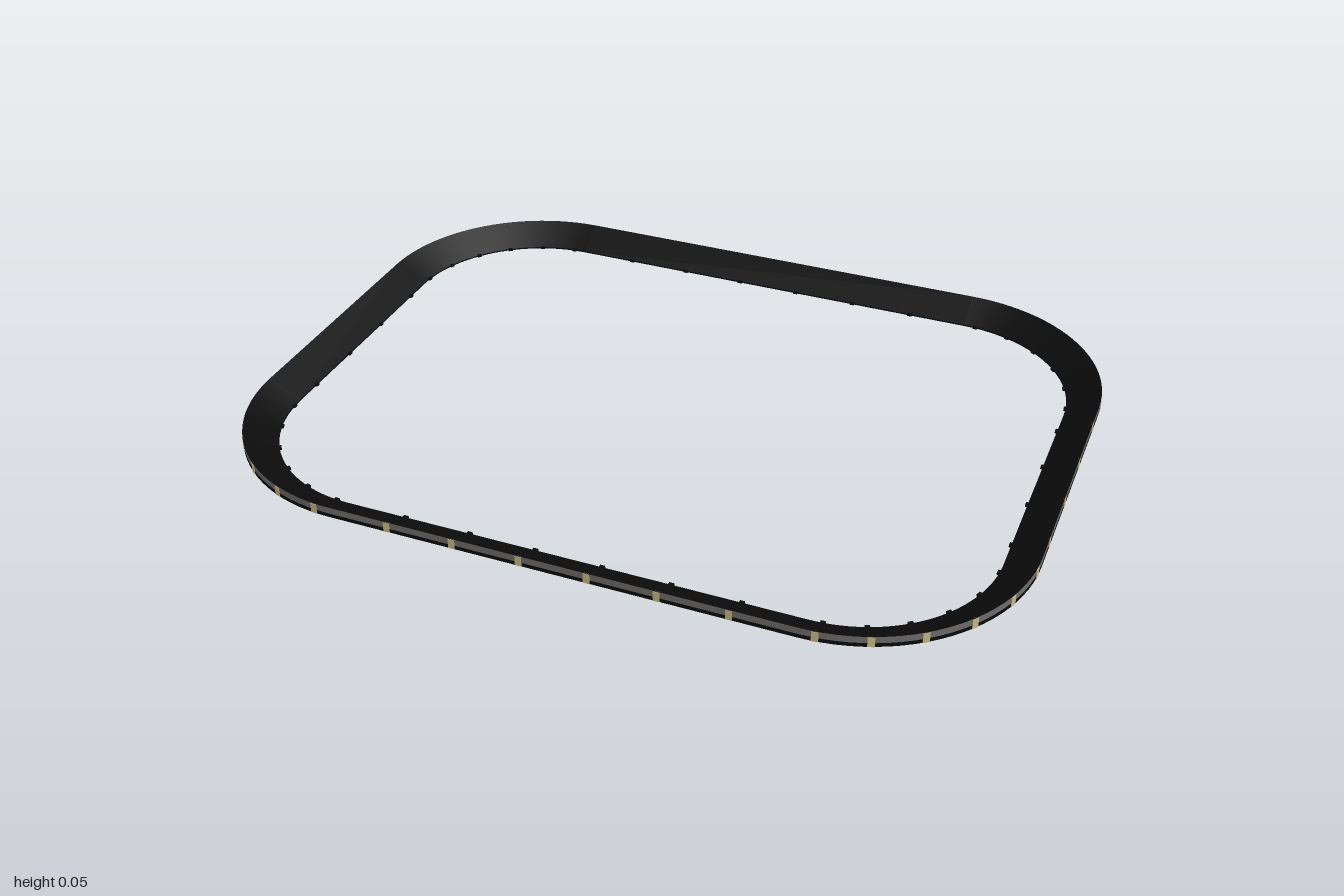
import * as THREE from 'three';

// Rounded rectangle: straight half lengths and corner radius
const HX = 0.57, HZ = 0.327, R = 0.43, STEPS = 24;

export function createModel() {
  const black = new THREE.MeshStandardMaterial({ color: 0x0b0b0b, name: 'black' });
  const grey = new THREE.MeshStandardMaterial({ color: 0x6e6c6b, name: 'grey' });
  const gold = new THREE.MeshStandardMaterial({ color: 0xc8b880, name: 'paleGold' });
  const group = new THREE.Group();
  group.name = 'ringFrame';

  // Corner centres and angles around the outline
  const path = [];
  [[1, 1], [-1, 1], [-1, -1], [1, -1]].forEach(([sx, sz], q) => {
    for (let i = 0; i <= STEPS; i++) {
      path.push([sx * HX, sz * HZ, (q + i / STEPS) * Math.PI / 2]);
    }
  });

  // Closed strip between two section points, each [inset, height]
  function strip(name, a, b, material) {
    const pos = [], index = [], n = path.length;
    path.forEach(([cx, cz, t], i) => {
      for (const [inset, y] of [a, b]) {
        pos.push(cx + (R - inset) * Math.cos(t), y, cz + (R - inset) * Math.sin(t));
      }
      const p = 2 * i, r = 2 * ((i + 1) % n);
      index.push(p, p + 1, r, r, p + 1, r + 1);
    });
    const g = new THREE.BufferGeometry();
    g.setAttribute('position', new THREE.Float32BufferAttribute(pos, 3));
    g.setIndex(index);
    g.computeVertexNormals();
    const mesh = new THREE.Mesh(g, material);
    mesh.name = name;
    group.add(mesh);
  }

  // Wedge section: sloping underside, upright rim, sloping inner face
  strip('bottomEdge', [0.084, 0], [0.076, 0], black);
  strip('underside', [0.076, 0], [0, 0.021], black);
  strip('lowerRim', [0, 0.021], [0, 0.031], black);
  strip('upperRim', [0, 0.031], [0, 0.048], grey);
  strip('innerSlope', [0, 0.048], [0.084, 0.004], black);
  strip('innerLip', [0.084, 0.004], [0.084, 0], black);

  // Small marker with a matching rib on the inner edge
  const plate = new THREE.BoxGeometry(0.005, 0.025, 0.016);
  const rib = new THREE.BoxGeometry(0.008, 0.006, 0.012);
  function marker(cx, cz, t) {
    const add = (name, geometry, material, radius, y) => {
      const m = new THREE.Mesh(geometry, material);
      m.name = name;
      m.position.set(cx + radius * Math.cos(t), y, cz + radius * Math.sin(t));
      m.rotation.y = -t;
      group.add(m);
    };
    add('marker', plate, gold, R - 0.0015, 0.0335);
    add('innerRib', rib, black, R - 0.085, 0.003);
  }

  // Markers along the straights
  for (const s of [1, -1]) {
    for (const x of [-0.417, -0.25, -0.083, 0.083, 0.25, 0.417]) marker(x, s * HZ, s * Math.PI / 2);
    for (const z of [-0.25, -0.083, 0.083, 0.25]) marker(s * HX, z, s > 0 ? 0 : Math.PI);
  }
  // Six markers around each corner
  [[1, 1], [-1, 1], [-1, -1], [1, -1]].forEach(([sx, sz], q) => {
    for (let i = 0; i < 6; i++) {
      marker(sx * HX, sz * HZ, q * Math.PI / 2 + THREE.MathUtils.degToRad(5.3 + i * 15.88));
    }
  });
  return group;
}
